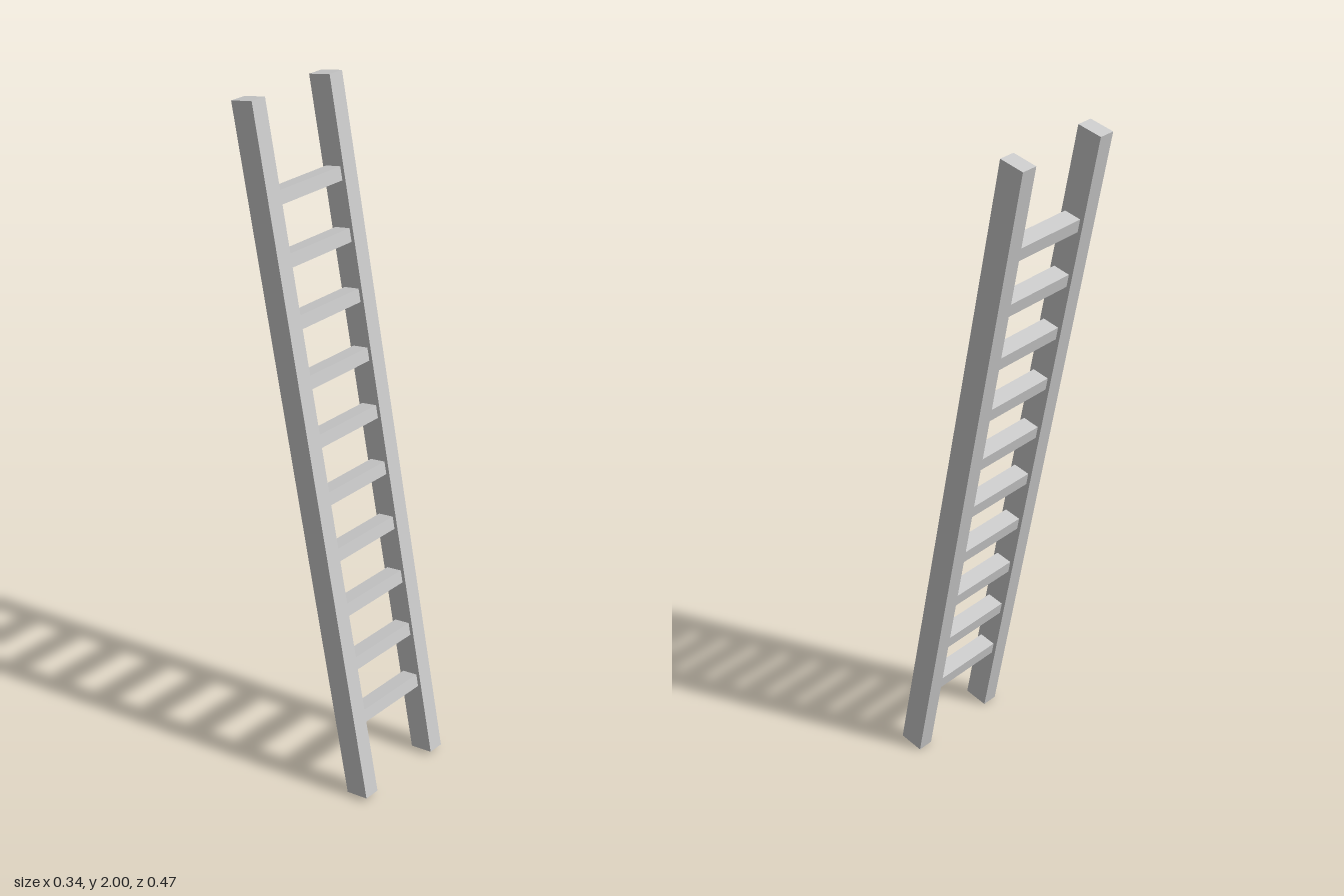
import * as THREE from 'three';

export function createModel() {
  const ladder = new THREE.Group();
  ladder.name = 'ladder';
  const material = new THREE.MeshStandardMaterial({ color: 0xcccccc, flatShading: true });

  const addBox = (name, w, h, d, x, y) => {
    const mesh = new THREE.Mesh(new THREE.BoxGeometry(w, h, d), material);
    mesh.name = name;
    mesh.position.set(x, y, 0);
    ladder.add(mesh);
  };

  // Two long side rails
  const railLength = 2.0244, railWidth = 0.048, railDepth = 0.0735, railX = 0.1445;
  addBox('leftRail', railWidth, railLength, railDepth, railX, 0);
  addBox('rightRail', railWidth, railLength, railDepth, -railX, 0);

  // Ten evenly spaced rungs between the inner rail faces
  const rungCount = 10, spacing = 0.1691, firstRung = -0.7735;
  for (let i = 0; i < rungCount; i++) {
    addBox(`rung${i + 1}`, 2 * railX - railWidth, 0.038, 0.051, 0, firstRung + i * spacing);
  }

  // Lean the whole ladder backwards, feet on the ground
  ladder.rotation.x = -0.1955;
  ladder.position.y = 1;

  const model = new THREE.Group();
  model.name = 'leaningLadder';
  model.add(ladder);
  return model;
}
